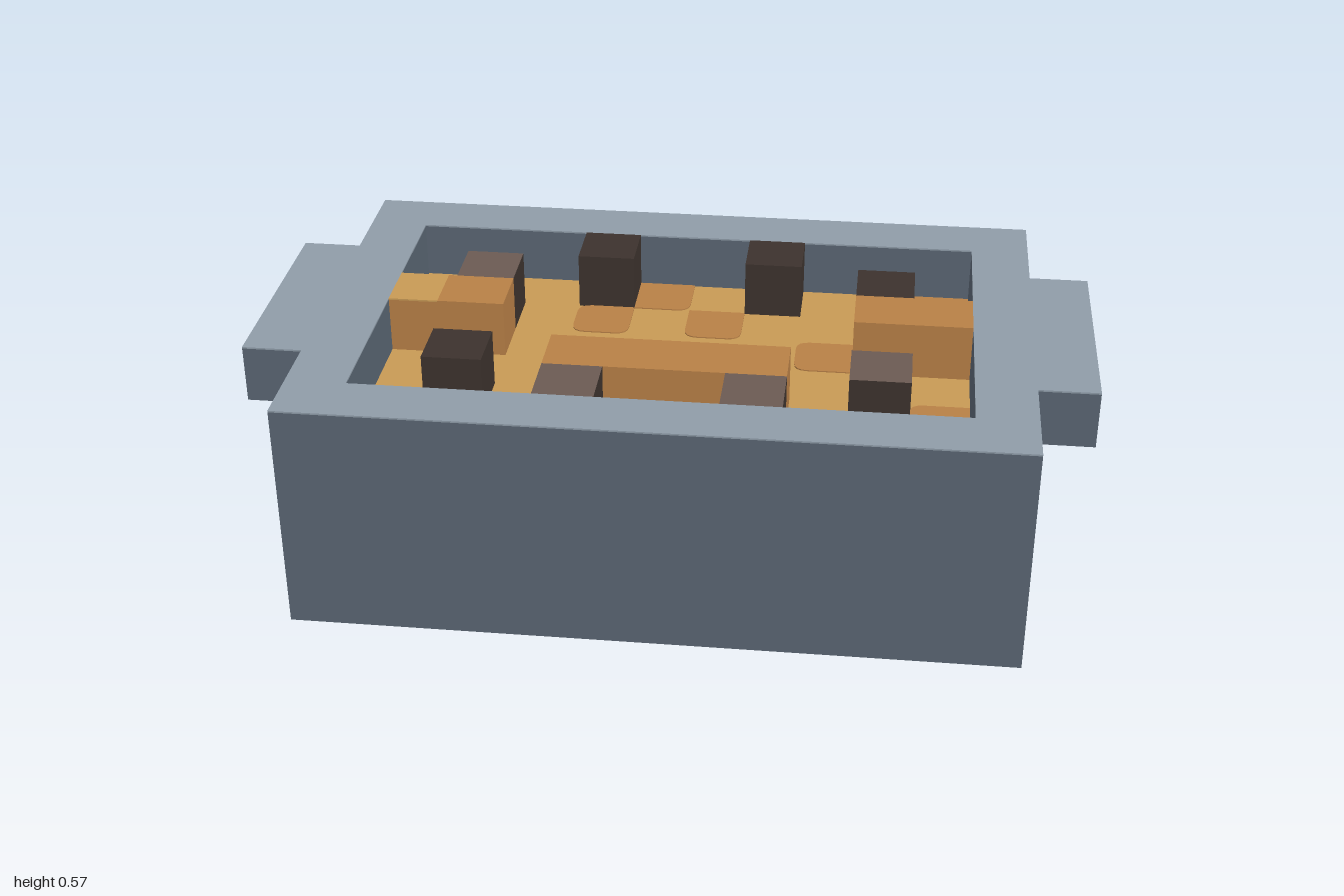
import * as THREE from 'three';

const U = 1 / 7;        // block grid unit
const PAINT = 0.004;    // thickness of painted plates
const FLOOR = 3 * U;
const TOP = 4 * U;

function material(name, color) {
  const m = new THREE.MeshStandardMaterial({ color });
  m.name = name;
  return m;
}

export function createModel() {
  const slate = material('slate', 0x5a6673);
  const paleSlate = material('paleSlate', 0x8f9ca8);
  const sand = material('sand', 0xc89a55);
  const brown = material('brown', 0xb88046);
  const charcoal = material('charcoal', 0x3c322d);
  const taupe = material('taupe', 0x6b5a53);

  const model = new THREE.Group();
  model.name = 'trayBox';

  function add(name, geometry, mat) {
    const mesh = new THREE.Mesh(geometry, mat);
    mesh.name = name;
    model.add(mesh);
    return mesh;
  }

  // Box from grid bounds in x and z, and real heights
  function block(name, x0, x1, z0, z1, y0, y1, mat) {
    const g = new THREE.BoxGeometry((x1 - x0) * U, y1 - y0, (z1 - z0) * U);
    g.translate((x0 + x1) / 2 * U, (y0 + y1) / 2, (z0 + z1) / 2 * U);
    return add(name, g, mat);
  }

  // Flat shape (drawn with y = -z) raised from y0 to y1
  function slab(name, shape, y0, y1, mat) {
    const g = new THREE.ExtrudeGeometry(shape, { depth: y1 - y0, bevelEnabled: false, curveSegments: 4 });
    g.rotateX(-Math.PI / 2).translate(0, y0, 0);
    return add(name, g, mat);
  }

  // Painted floor tile; round lists corners: back left, back right, front right, front left
  function tile(x0, x1, z0, z1, round = [0, 0, 0, 0]) {
    const [a, b, c, d] = round.map((r) => r * 0.035);
    const l = x0 * U, r = x1 * U, t = -z0 * U, f = -z1 * U;
    const s = new THREE.Shape();
    s.moveTo(l + d, f);
    s.lineTo(r - c, f);
    s.quadraticCurveTo(r, f, r, f + c);
    s.lineTo(r, t - b);
    s.quadraticCurveTo(r, t, r - b, t);
    s.lineTo(l + a, t);
    s.quadraticCurveTo(l, t, l, t - a);
    s.lineTo(l, f + d);
    s.quadraticCurveTo(l, f, l + d, f);
    slab('floorPatch', s, FLOOR, FLOOR + PAINT, brown);
  }

  // Solid base and sandy floor
  block('base', -6, 6, -4, 4, 0, FLOOR, slate);
  block('floor', -5, 5, -3, 3, FLOOR - PAINT, FLOOR + 0.001, sand);

  // Rim frame with end handles, and its pale top
  const outline = [[-6, -4], [6, -4], [6, -2], [7, -2], [7, 2], [6, 2], [6, 4],
    [-6, 4], [-6, 2], [-7, 2], [-7, -2], [-6, -2]];
  const rim = new THREE.Shape(outline.map(([x, y]) => new THREE.Vector2(x * U, y * U)));
  const opening = [[-5, -3], [-5, 3], [5, 3], [5, -3]];
  rim.holes.push(new THREE.Path(opening.map(([x, y]) => new THREE.Vector2(x * U, y * U))));
  slab('rim', rim, FLOOR, TOP - PAINT, slate);
  slab('rimTop', rim, TOP - PAINT, TOP, paleSlate);

  // Brown floor patches
  tile(-1, 0, -3, -2, [0, 0, 1, 0]);
  tile(4, 5, -3, -2, [0, 0, 0, 1]);
  for (const x of [-2, 0]) {
    tile(x, x + 1, -2, -1, [x ? 1 : 0, 0, 1, 1]);
    tile(x, x + 1, 0, 1, [1, 1, 0, 0]);
  }
  tile(2, 3, -1, 0, [1, 0, 0, 1]);
  tile(4, 5, 1, 2, [1, 0, 0, 0]);
  tile(-5, -2, 2, 3);
  tile(0, 1, 2, 3);
  tile(2, 4, 2, 3);

  // Raised walls inside the tray
  block('longWall', -2, 2, 1, 2, FLOOR, TOP, brown);
  block('rightWall', 3, 5, -1, 0, FLOOR, TOP, brown);
  block('leftWall', -5, -3, -1, 0, FLOOR, TOP - PAINT, brown);
  block('leftWallSandTop', -5, -4.15, -1, 0, TOP - PAINT, TOP, sand);
  block('leftWallBrownTop', -4.15, -3, -1, 0, TOP - PAINT, TOP, brown);

  // Ring of posts: charcoal, some with taupe tops
  const posts = [[-2, -3, 0], [1, -3, 0], [3, -2, 0], [-4, 1, 0],
    [-4, -2, 1], [3, 1, 1], [-2, 2, 1], [1, 2, 1]];
  for (const [x, z, pale] of posts) {
    const top = pale ? taupe : charcoal;
    block('post', x, x + 1, z, z + 1, FLOOR, TOP,
      [charcoal, charcoal, top, charcoal, charcoal, charcoal]);
  }

  return model;
}
